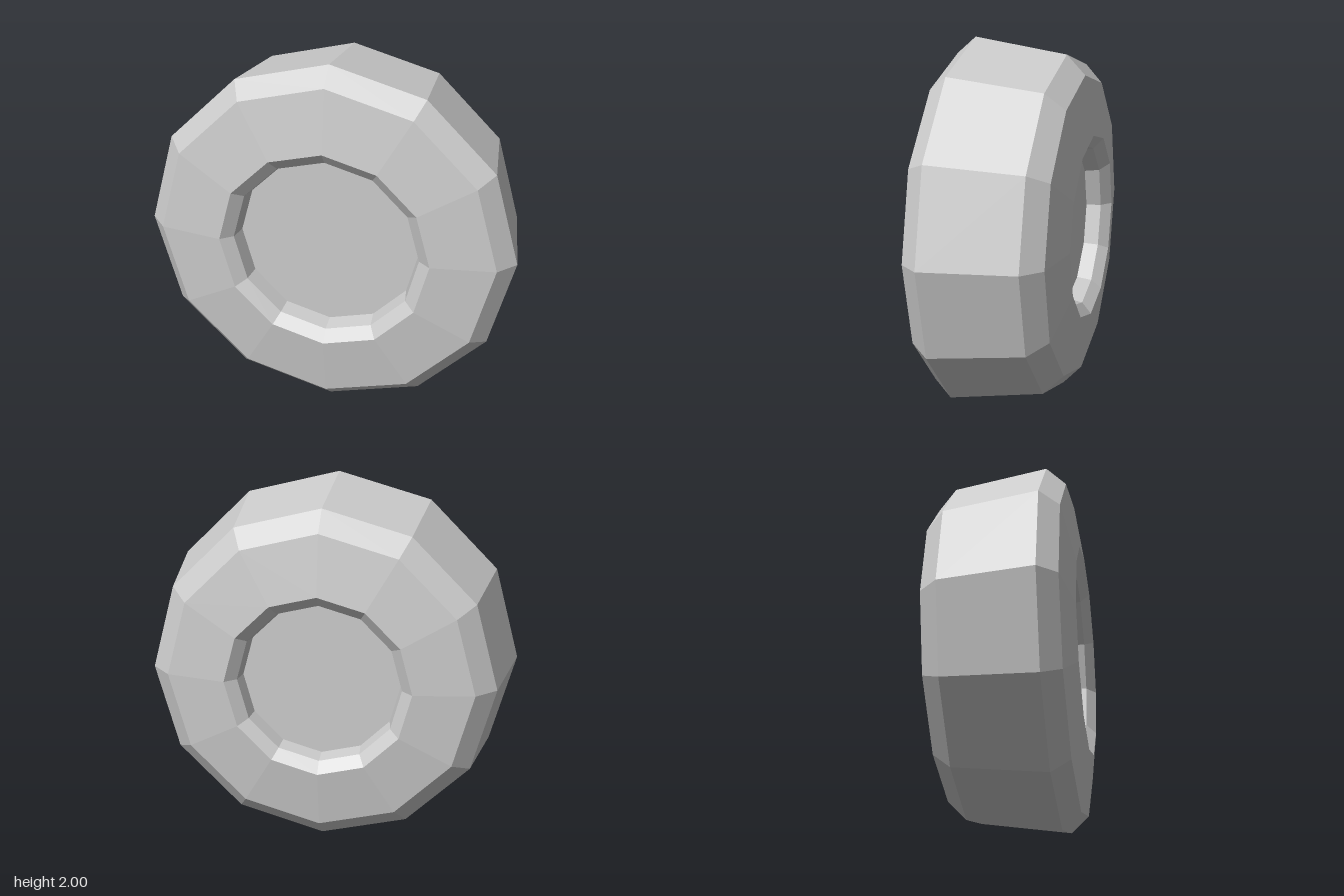
import * as THREE from 'three';

const SIDES = 12;

export function createModel() {
  const group = new THREE.Group();
  group.name = 'wheel';
  const material = new THREE.MeshStandardMaterial({ color: 0xcccccc, flatShading: true });

  // Turns a [radius, z] profile, listed from back to front, around the axle.
  const turned = (name, profile) => {
    const points = profile.map(([r, z]) => new THREE.Vector2(r, z));
    const geometry = new THREE.LatheGeometry(points, SIDES).rotateX(Math.PI / 2);
    const mesh = new THREE.Mesh(geometry, material);
    mesh.name = name;
    mesh.position.y = 1;
    group.add(mesh);
  };

  // Tapered tread with bevelled shoulders and sidewalls
  turned('tyre', [
    [0.5, -0.4], [0.82, -0.35], [0.925, -0.25],
    [1, 0.25], [0.91, 0.35], [0.57, 0.4],
  ]);

  // Recessed rims, each closed by a flat hub disc
  turned('frontRim', [[0.57, 0.4], [0.505, 0.35], [0.488, 0.26]]);
  turned('frontHub', [[0.488, 0.26], [0, 0.26]]);
  turned('backRim', [[0.425, -0.27], [0.44, -0.35], [0.5, -0.4]]);
  turned('backHub', [[0, -0.27], [0.425, -0.27]]);

  return group;
}
